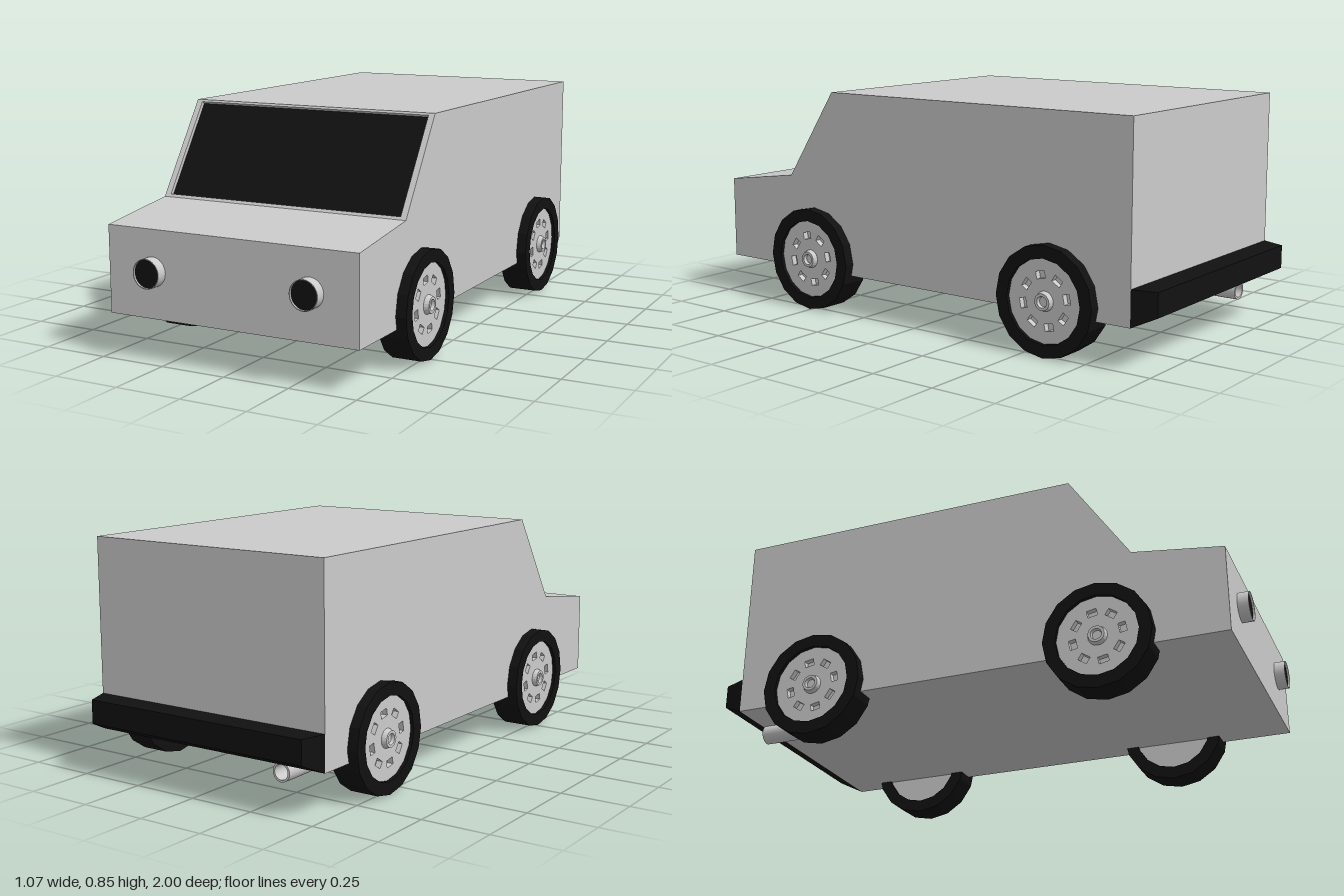
import * as THREE from 'three';

const grey = new THREE.MeshStandardMaterial({ color: 0xcccccc, flatShading: true });
const smoothGrey = new THREE.MeshStandardMaterial({ color: 0xcccccc, side: THREE.DoubleSide });
const black = new THREE.MeshStandardMaterial({ color: 0x111111, flatShading: true });

function add(parent, name, geometry, material, x = 0, y = 0, z = 0) {
  const mesh = new THREE.Mesh(geometry, material);
  mesh.name = name;
  mesh.position.set(x, y, z);
  parent.add(mesh);
  return mesh;
}

const polygon = (pts) => new THREE.Shape(pts.map(([x, y]) => new THREE.Vector2(x, y)));
const rectangle = (x0, y0, x1, y1) => [[x0, y0], [x1, y0], [x1, y1], [x0, y1]];
const lathe = (pts, sides) =>
  new THREE.LatheGeometry(pts.map(([r, y]) => new THREE.Vector2(r, y)), sides);

const HALF_WIDTH = 0.49;

// Van body: side profile (z, y) extruded across the width, with a sunken windscreen slope
function buildBody(model) {
  const low = [0.63, 0.51], high = [0.405, 0.845], depth = 0.016;
  const dz = low[0] - high[0], dy = high[1] - low[1], slope = Math.hypot(dz, dy);
  const sink = ([z, y]) => [z - (depth * dy) / slope, y - (depth * dz) / slope];
  const profile = polygon([
    [-0.915, 0.15], [0.96, 0.15], [0.96, 0.465], low, sink(low), sink(high), high, [-0.915, 0.845],
  ]);
  const shell = new THREE.ExtrudeGeometry(profile, { depth: HALF_WIDTH * 2, bevelEnabled: false });
  shell.translate(0, 0, -HALF_WIDTH).rotateY(-Math.PI / 2);
  add(model, 'body', shell, grey);

  // Frame and glass, lying on the slope
  const windscreen = new THREE.Group();
  windscreen.name = 'windscreen';
  windscreen.position.set(0, low[1], low[0]);
  windscreen.rotation.x = -Math.atan2(dz, dy);
  model.add(windscreen);
  const opening = rectangle(-0.467, 0.012, 0.467, slope - 0.009);
  const frame = polygon(rectangle(-HALF_WIDTH, 0, HALF_WIDTH, slope));
  frame.holes.push(polygon(opening));
  const frameGeo = new THREE.ExtrudeGeometry(frame, { depth, bevelEnabled: false });
  add(windscreen, 'windscreenFrame', frameGeo, grey, 0, 0, -depth);
  add(windscreen, 'windscreenGlass', new THREE.ShapeGeometry(polygon(opening)), black, 0, 0, 0.0015 - depth);
}

// Short round headlight: grey casing with a dark lens just inside the lip
function buildHeadlight(model, side) {
  const lamp = new THREE.Group();
  lamp.name = side > 0 ? 'leftHeadlight' : 'rightHeadlight';
  lamp.position.set(side * 0.308, 0.316, 0.955);
  model.add(lamp);
  const casing = lathe([[0.053, 0], [0.053, 0.045], [0.053, 0.045], [0.05, 0.045], [0.05, 0.045], [0.05, 0.03]], 32);
  add(lamp, 'headlightCasing', casing.rotateX(Math.PI / 2), smoothGrey);
  add(lamp, 'headlightLens', new THREE.CircleGeometry(0.051, 32), black, 0, 0, 0.037);
}

// Rear bumper: a box narrowed at the sides and underneath toward the back
function buildBumper(model) {
  const geo = new THREE.BoxGeometry(HALF_WIDTH * 2, 0.13, 0.085);
  const p = geo.attributes.position;
  for (let i = 0; i < p.count; i++) {
    if (p.getZ(i) > 0) continue;
    p.setX(i, Math.sign(p.getX(i)) * 0.46);
    p.setY(i, p.getY(i) < 0 ? -0.025 : 0.062);
  }
  add(model, 'rearBumper', geo, black, 0, 0.215, -0.9575);
}

// Wheel with its axis on x, outside facing +x
function buildWheel(name) {
  const wheel = new THREE.Group();
  wheel.name = name;
  const tyre = lathe([[0.15, -0.055], [0.197, -0.055], [0.197, 0.055], [0.15, 0.055], [0.15, -0.055]], 16);
  add(wheel, 'tyre', tyre.rotateZ(-Math.PI / 2), black);

  const drum = new THREE.CylinderGeometry(0.152, 0.152, 0.065, 32);
  add(wheel, 'rimDrum', drum.rotateZ(Math.PI / 2), grey, -0.0125);

  // Outer rim plate with a ring of slots
  const plate = new THREE.Shape().absarc(0, 0, 0.152, 0, Math.PI * 2);
  for (let i = 0; i < 8; i++) {
    const a = (i / 8) * Math.PI * 2 + 0.2, c = Math.cos(a), s = Math.sin(a);
    const slot = rectangle(0.078, -0.018, 0.104, 0.018);
    plate.holes.push(polygon(slot.map(([u, v]) => [u * c - v * s, u * s + v * c])));
  }
  const plateGeo = new THREE.ExtrudeGeometry(plate, { depth: 0.022, bevelEnabled: false, curveSegments: 32 });
  add(wheel, 'rimPlate', plateGeo.rotateY(Math.PI / 2), grey, 0.02);

  // Raised hub ring with a sunken centre
  const hub = lathe([[0.036, 0.04], [0.03, 0.06], [0.02, 0.06], [0.017, 0.048], [0, 0.048]], 20);
  add(wheel, 'hub', hub.rotateZ(-Math.PI / 2), grey);
  return wheel;
}

// Hollow exhaust pipe coming down from the floor and running to the rear
function buildExhaust(model) {
  const path = new THREE.CatmullRomCurve3([
    [0.22, -0.6], [0.165, -0.67], [0.125, -0.74], [0.12, -0.82], [0.12, -0.905],
  ].map(([y, z]) => new THREE.Vector3(-0.305, y, z)));
  add(model, 'exhaustPipe', new THREE.TubeGeometry(path, 24, 0.035, 20), smoothGrey);
  add(model, 'exhaustInside', new THREE.TubeGeometry(path, 24, 0.027, 20), smoothGrey);
  add(model, 'exhaustLip', new THREE.RingGeometry(0.027, 0.035, 20), smoothGrey, -0.305, 0.12, -0.905);
}

export function createModel() {
  const model = new THREE.Group();
  model.name = 'van';
  buildBody(model);
  buildBumper(model);
  buildExhaust(model);
  for (const side of [1, -1]) {
    buildHeadlight(model, side);
    for (const [end, z] of [['Front', 0.508], ['Rear', -0.594]]) {
      const wheel = buildWheel((side > 0 ? 'left' : 'right') + end + 'Wheel');
      wheel.position.set(side * 0.474, 0.197, z);
      if (side < 0) wheel.rotation.y = Math.PI;
      model.add(wheel);
    }
  }
  return model;
}
